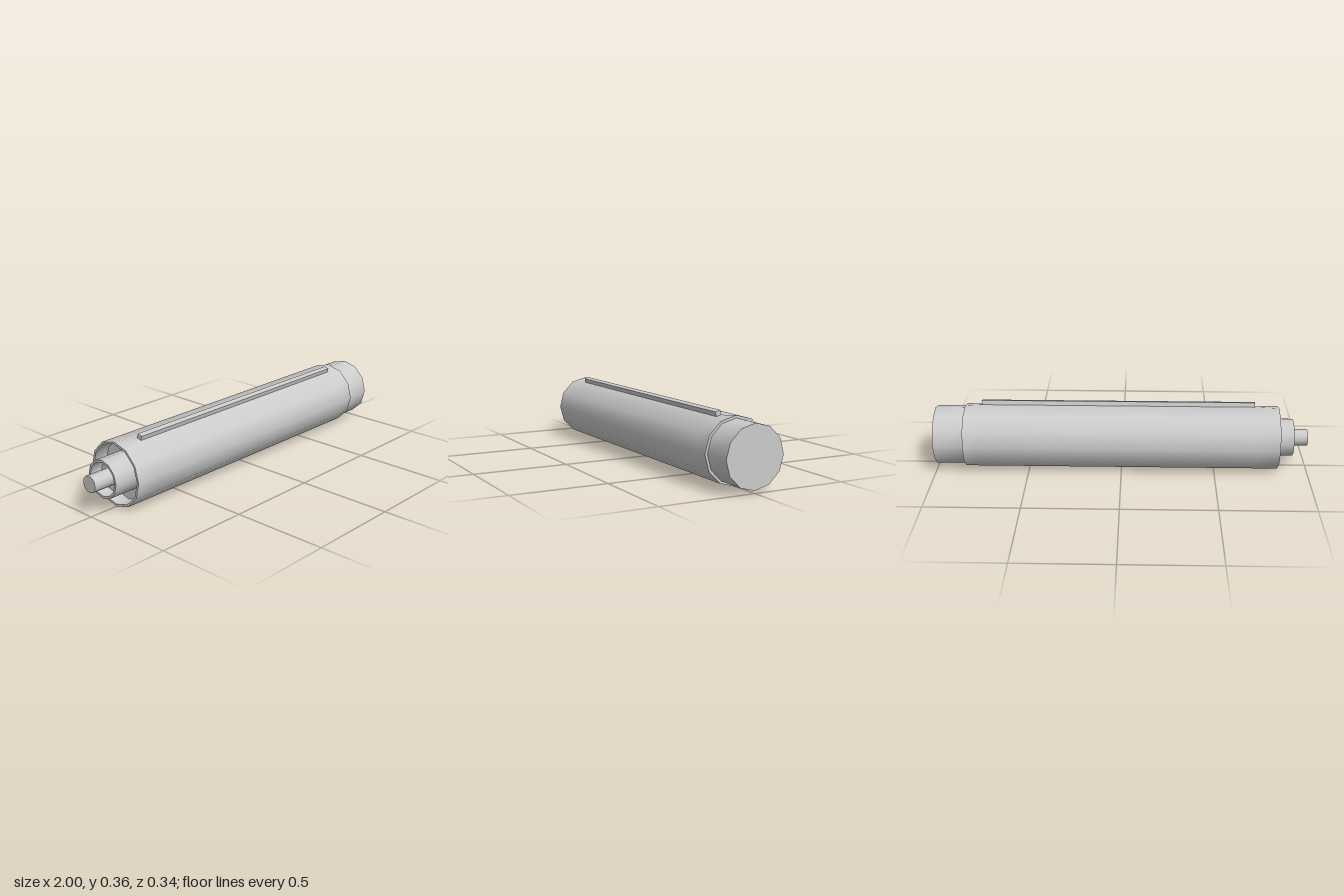
import * as THREE from 'three';
import { toCreasedNormals } from 'three/addons/utils/BufferGeometryUtils.js';

const SIDES = 12, AXIS_Y = 0.171, R = 0.17, TILT = Math.PI / 12;
const RAIL_START = -0.715, RAIL_END = 0.755, RAIL_WIDTH = 0.028, RAIL_TOP = 0.188;

// Ring of points around the x axis, first point on top, turning towards the front
function ring(x, r) {
  return Array.from({ length: SIDES }, (_, i) => {
    const a = (i / SIDES) * Math.PI * 2;
    return [x, r * Math.cos(a), r * Math.sin(a)];
  });
}

// Body ring whose two upper front corners are drawn in to the foot of the rail
function railRing(x) {
  const points = ring(x, R), apothem = R * Math.cos(TILT);
  [-1, 1].forEach((side, i) => {
    const t = side * RAIL_WIDTH / 2;
    points[i] = [
      x,
      apothem * Math.cos(TILT) - t * Math.sin(TILT),
      apothem * Math.sin(TILT) + t * Math.cos(TILT),
    ];
  });
  return points;
}

// Skin a sequence of rings
function loft(name, rings) {
  const index = [];
  for (let j = 0; j < rings.length - 1; j++) {
    for (let i = 0; i < SIDES; i++) {
      const k = (i + 1) % SIDES;
      const a = j * SIDES + i, b = j * SIDES + k;
      index.push(a, b, a + SIDES, b, b + SIDES, a + SIDES);
    }
  }
  const geometry = new THREE.BufferGeometry();
  geometry.setAttribute('position', new THREE.Float32BufferAttribute(rings.flat(2), 3));
  geometry.setIndex(index);
  const mesh = new THREE.Mesh(
    toCreasedNormals(geometry, 0.7),
    new THREE.MeshStandardMaterial({ color: 0xcccccc, side: THREE.DoubleSide }),
  );
  mesh.name = name;
  mesh.position.y = AXIS_Y;
  return mesh;
}

export function createModel() {
  const group = new THREE.Group();
  group.name = 'cylinderAssembly';

  // Main barrel with a recessed rear end
  group.add(loft('barrel', [
    ring(-0.76, 0), ring(-0.76, 0.158), ring(-0.84, 0.158), ring(-0.84, R),
    railRing(RAIL_START), railRing(RAIL_END),
    ring(0.84, R), ring(0.84, 0.157),
  ]));

  // Solid cap section at the other end
  group.add(loft('endCap', [ring(0.84, 0.157), ring(1, 0.157), ring(1, 0)]));

  // Recessed collar and its central pin
  group.add(loft('collar', [
    ring(-0.85, 0), ring(-0.85, 0.088), ring(-0.92, 0.088), ring(-0.92, 0.1), ring(-0.76, 0.1),
  ]));
  group.add(loft('pin', [ring(-1, 0), ring(-1, 0.044), ring(-0.85, 0.044)]));

  // Long rail seated on the tilted upper facet
  const bottom = 0.155;
  const railGeometry = new THREE.BoxGeometry(RAIL_END - RAIL_START, RAIL_TOP - bottom, RAIL_WIDTH);
  railGeometry.translate((RAIL_START + RAIL_END) / 2, (RAIL_TOP + bottom) / 2, 0);
  const rail = new THREE.Mesh(railGeometry, new THREE.MeshStandardMaterial({ color: 0xcccccc }));
  rail.name = 'rail';
  rail.position.y = AXIS_Y;
  rail.rotation.x = TILT;
  group.add(rail);

  return group;
}
